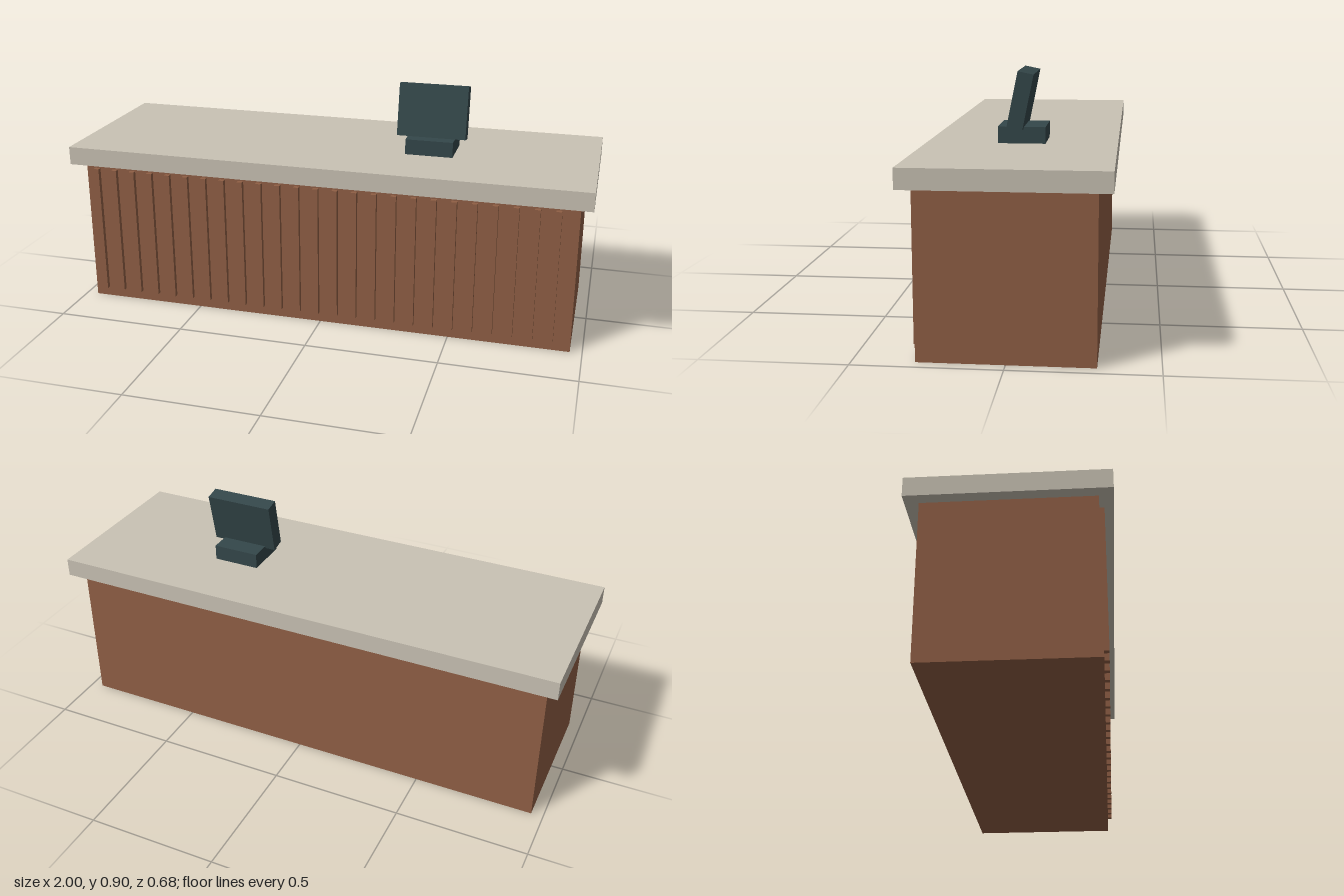
import * as THREE from 'three';

export function createModel() {
  const model = new THREE.Group();
  model.name = 'serviceCounter';

  const material = (name, color) => {
    const m = new THREE.MeshStandardMaterial({ color });
    m.name = name;
    return m;
  };
  const wood = material('brown wood', 0x905f45);
  const stone = material('pale stone', 0xc9c2b4);
  const plastic = material('dark slate plastic', 0x34474a);

  const addBox = (name, size, position, mat, parent = model) => {
    const mesh = new THREE.Mesh(new THREE.BoxGeometry(...size), mat);
    mesh.name = name;
    mesh.position.set(...position);
    parent.add(mesh);
    return mesh;
  };

  // Cabinet and overhanging worktop
  addBox('cabinet', [1.91, 0.573, 0.586], [0, 0.2865, 0], wood);
  addBox('worktop', [2, 0.07, 0.682], [0, 0.608, 0], stone);

  // Vertical slats along the front, sunk slightly into the cabinet
  const slats = new THREE.Group();
  slats.name = 'frontSlats';
  model.add(slats);
  for (let i = 0; i < 25; i++) {
    addBox('slat', [0.021, 0.512, 0.034], [-0.909 + i * 0.0746, 0.294, 0.293], wood, slats);
  }

  // Till: base block with a screen leaning back
  const till = new THREE.Group();
  till.name = 'till';
  till.position.set(0.371, 0.643, 0);
  model.add(till);
  addBox('tillBase', [0.182, 0.059, 0.17], [0, 0.0295, 0], plastic, till);
  const screen = addBox('tillScreen', [0.264, 0.201, 0.057], [0, 0.155, 0.0015], plastic, till);
  screen.rotation.x = -0.2;

  return model;
}
